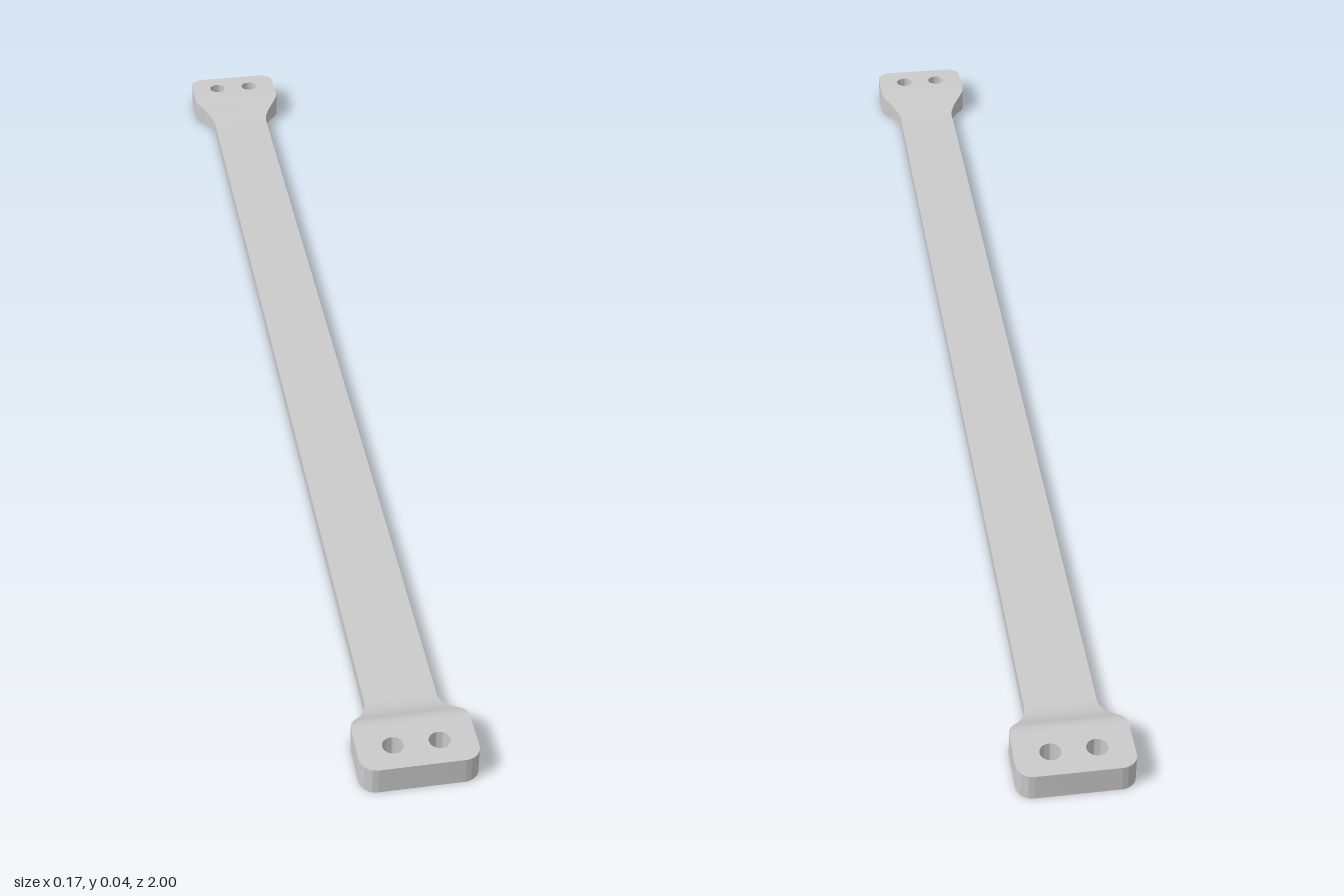
import * as THREE from 'three';
import { toCreasedNormals } from 'three/addons/utils/BufferGeometryUtils.js';

const PAD_W = 0.085, PAD_H = 0.043, BAR_W = 0.053, BAR_H = 0.021;
const PAD_START = 0.917, BAR_END = 0.845, CORNER = 0.024;
const STEPS = 20;

// S-curve from 0 to 1: short convex shoulder, then a longer concave fillet
function ease(t, a = 0.35) {
  return t <= a ? (t * t) / a : 1 - (1 - t) ** 2 / (1 - a);
}

// Thin strap that flares in width and height towards both ends
function strapGeometry() {
  const segments = 2 * STEPS + 1;
  const geo = new THREE.BoxGeometry(2, 1, 2, 1, 1, segments);
  const p = geo.attributes.position;
  for (let i = 0; i < p.count; i++) {
    const station = Math.round(((p.getZ(i) + 1) / 2) * segments);
    const front = station > STEPS;
    const t = (front ? segments - station : station) / STEPS;
    const z = THREE.MathUtils.lerp(PAD_START, BAR_END, t);
    const width = THREE.MathUtils.lerp(PAD_W, BAR_W, ease(t));
    const height = THREE.MathUtils.lerp(PAD_H, BAR_H, ease(t));
    p.setXYZ(i, p.getX(i) * width, p.getY(i) > 0 ? height : 0, front ? z : -z);
  }
  // Drop the end caps, which are hidden against the pads
  const capStart = geo.groups[4].start;
  geo.setIndex(Array.from(geo.index.array.slice(0, capStart)));
  geo.clearGroups();
  geo.computeVertexNormals();
  return geo;
}

// Raised end pad with rounded outer corners and two through holes
function padGeometry() {
  const s = new THREE.Shape();
  s.moveTo(-PAD_W, PAD_START);
  s.lineTo(PAD_W, PAD_START);
  s.lineTo(PAD_W, 1 - CORNER);
  s.absarc(PAD_W - CORNER, 1 - CORNER, CORNER, 0, Math.PI / 2);
  s.absarc(-PAD_W + CORNER, 1 - CORNER, CORNER, Math.PI / 2, Math.PI);
  s.closePath();
  for (const x of [-0.033, 0.033]) {
    s.holes.push(new THREE.Path().absarc(x, 0.957, 0.0155, 0, Math.PI * 2, true));
  }
  const geo = new THREE.ExtrudeGeometry(s, { depth: PAD_H, bevelEnabled: false, curveSegments: 16 });
  geo.rotateX(Math.PI / 2).translate(0, PAD_H, 0);
  return toCreasedNormals(geo, 0.6);
}

export function createModel() {
  const group = new THREE.Group();
  group.name = 'mountingStrap';
  const material = new THREE.MeshStandardMaterial({ color: 0xcccccc });

  const strap = new THREE.Mesh(strapGeometry(), material);
  strap.name = 'strap';
  group.add(strap);

  const padGeo = padGeometry();
  ['frontPad', 'backPad'].forEach((name, i) => {
    const pad = new THREE.Mesh(padGeo, material);
    pad.name = name;
    pad.rotation.y = i * Math.PI;
    group.add(pad);
  });
  return group;
}
